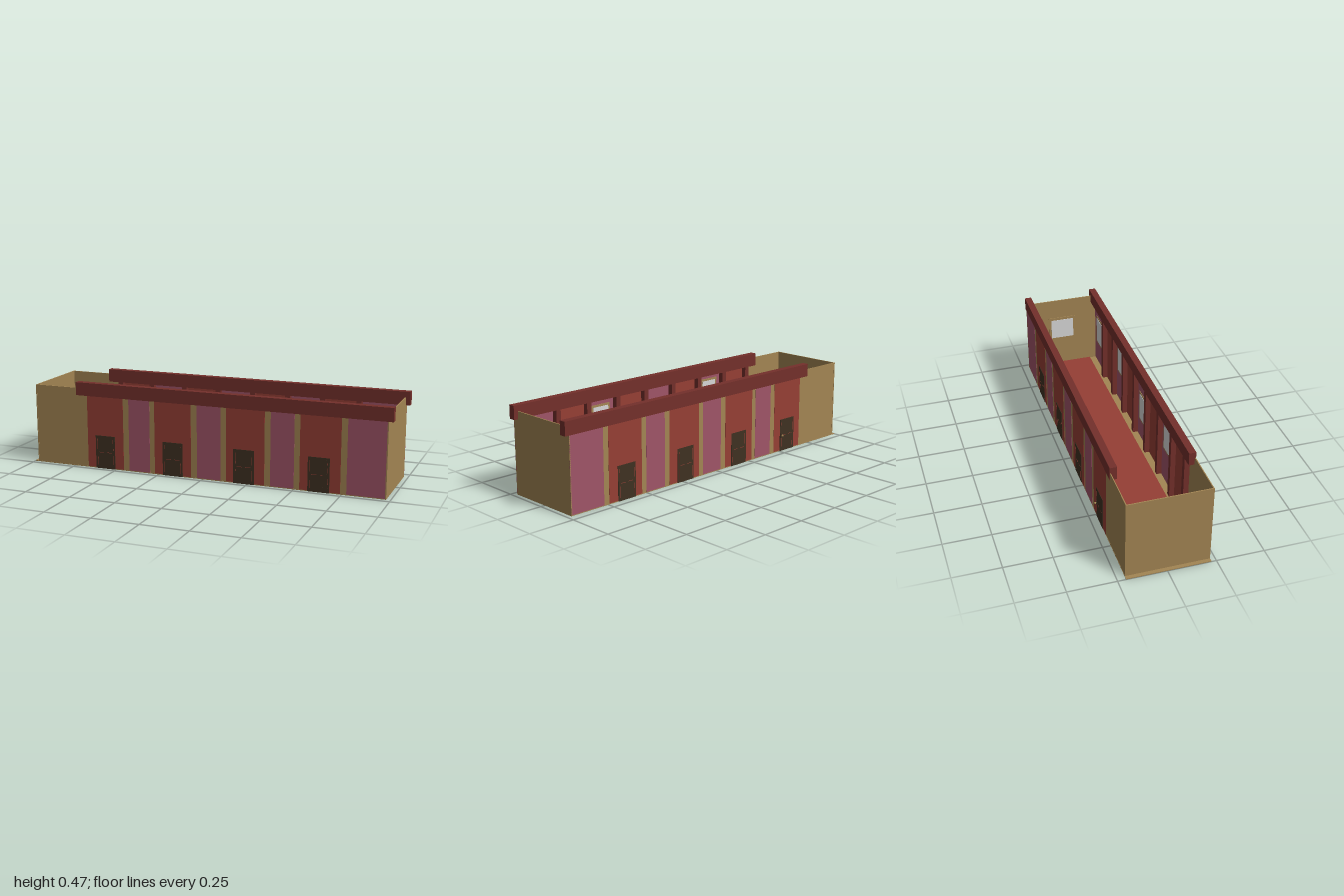
import * as THREE from 'three';

export function createModel() {
  const model = new THREE.Group();
  const mat = (name, color) => {
    const m = new THREE.MeshStandardMaterial({ color });
    m.name = name;
    return m;
  };
  const tan = mat('tan plaster', 0xa38553);
  const red = mat('brick red', 0x963f35);
  const pink = mat('dusty pink', 0xa05468);
  const maroon = mat('maroon trim', 0x74302b);
  const brown = mat('dark door wood', 0x3f3122);
  const white = mat('pale glass', 0xd8d8d8);

  // Box given by its minimum and maximum on each axis
  const box = (name, m, x0, x1, y0, y1, z0, z1, parent = model) => {
    const mesh = new THREE.Mesh(new THREE.BoxGeometry(x1 - x0, y1 - y0, z1 - z0), m);
    mesh.position.set((x0 + x1) / 2, (y0 + y1) / 2, (z0 + z1) / 2);
    mesh.name = name;
    parent.add(mesh);
    return mesh;
  };

  const H = 0.435, L = -0.98, R = 0.977, F = 0.224, B = -0.208, T = 0.006;

  // Floor and inner carpet
  box('floor', tan, -1, R, 0, 0.004, B, F);
  box('carpet', red, -0.845, R - T, 0.004, 0.008, -0.165, 0.18);

  // End walls
  box('rightEndWall', tan, L, L + T, 0.003, H, B, F);
  box('leftEndWall', tan, R - T, R, 0.003, H, B, F);
  box('endWindowFrame', tan, R - T - 0.004, R - T, 0.17, 0.32, -0.075, 0.09);
  box('endWindow', white, R - T - 0.006, R - T, 0.185, 0.305, -0.06, 0.075);

  const redBays = [[-0.668, -0.455], [-0.272, -0.064], [0.132, 0.342], [0.53, 0.743]];
  const pinkBays = [[-0.422, -0.3], [-0.03, 0.103], [0.374, 0.5], [0.775, R]];
  const postX = [-0.66, -0.468, -0.268, -0.066, 0.136, 0.335, 0.532, 0.73];
  const windowX = [-0.365, 0.036, 0.437, 0.872];
  const windowTop = [0.36, 0.285, 0.355, 0.305];
  const doorX = [-0.563, -0.168, 0.23, 0.63];

  // One long wall; s is the outward direction along z, zo its outer face
  function longWall(label, zo, s, pinkTops) {
    const g = new THREE.Group();
    g.name = label;
    model.add(g);
    // Slab between two depths measured inward from the outer face
    const slab = (name, m, x0, x1, y0, y1, d0, d1) => {
      const a = zo - s * d0, b = zo - s * d1;
      return box(name, m, x0, x1, y0, y1, Math.min(a, b), Math.max(a, b), g);
    };
    slab('wall', tan, L, R, 0.003, H, 0.001, T);

    // Painted bays, outside and inside
    redBays.forEach(([a, b]) => {
      slab('redBay', red, a, b, 0.003, H, 0, 0.002);
      slab('innerRedBay', red, a, b, 0.008, H, T, T + 0.001);
    });
    pinkBays.forEach(([a, b], i) => {
      slab('pinkBay', pink, a, b, 0.003, pinkTops[i], 0, 0.002);
      slab('innerPinkBay', pink, a - 0.03, Math.min(b + 0.03, R - T), 0.008, H, T, T + 0.001);
    });

    // Inner posts under the cornice
    postX.forEach(x => slab('post', maroon, x - 0.014, x + 0.014, 0.008, 0.395, T, 0.034));

    // Inner windows with tan frames
    windowX.forEach((x, i) => {
      const t = windowTop[i];
      slab('windowFrame', tan, x - 0.062, x + 0.062, t - 0.165, t + 0.012, T, T + 0.004);
      slab('windowPane', white, x - 0.05, x + 0.05, t - 0.153, t, T, T + 0.006);
    });

    // Doors with thin red panel lines
    doorX.forEach(x => {
      slab('door', brown, x - 0.057, x + 0.057, 0, 0.182, -0.002, 0.002);
      const line = (x0, x1, y0, y1) =>
        slab('doorLine', red, x + x0, x + x1, y0, y1, -0.0026, 0);
      for (const k of [-1, 1]) {
        line(k * 0.046 - 0.001, k * 0.046 + 0.001, 0.018, 0.075);
        line(k * 0.046 - 0.001, k * 0.046 + 0.001, 0.105, 0.165);
        line(k * 0.024 - 0.015, k * 0.024 + 0.015, 0.089, 0.0915);
      }
    });

    // Cornice beam
    slab('cornice', maroon, -0.733, 1, 0.395, 0.466, -0.0005, 0.036);
  }
  longWall('frontWall', F, 1, [H, H, H, H]);
  longWall('backWall', B, -1, [H, 0.395, 0.415, H]);

  // Round knob on the back door
  const stem = new THREE.Mesh(new THREE.CylinderGeometry(0.002, 0.002, 0.01, 8), tan);
  stem.rotation.x = Math.PI / 2;
  stem.position.set(-0.516, 0.09, -0.213);
  stem.name = 'knobStem';
  const knob = new THREE.Mesh(new THREE.SphereGeometry(0.006, 12, 8), tan);
  knob.position.set(-0.516, 0.09, -0.219);
  knob.name = 'doorKnob';
  model.add(stem, knob);
  box('knobPlate', brown, -0.521, -0.511, 0.077, 0.103, -0.2125, -0.21);

  // Hinges and latch on the last front door
  for (const y of [0.02, 0.09, 0.165]) box('latch', brown, 0.652, 0.686, y - 0.007, y + 0.007, 0.224, 0.227);

  return model;
}
